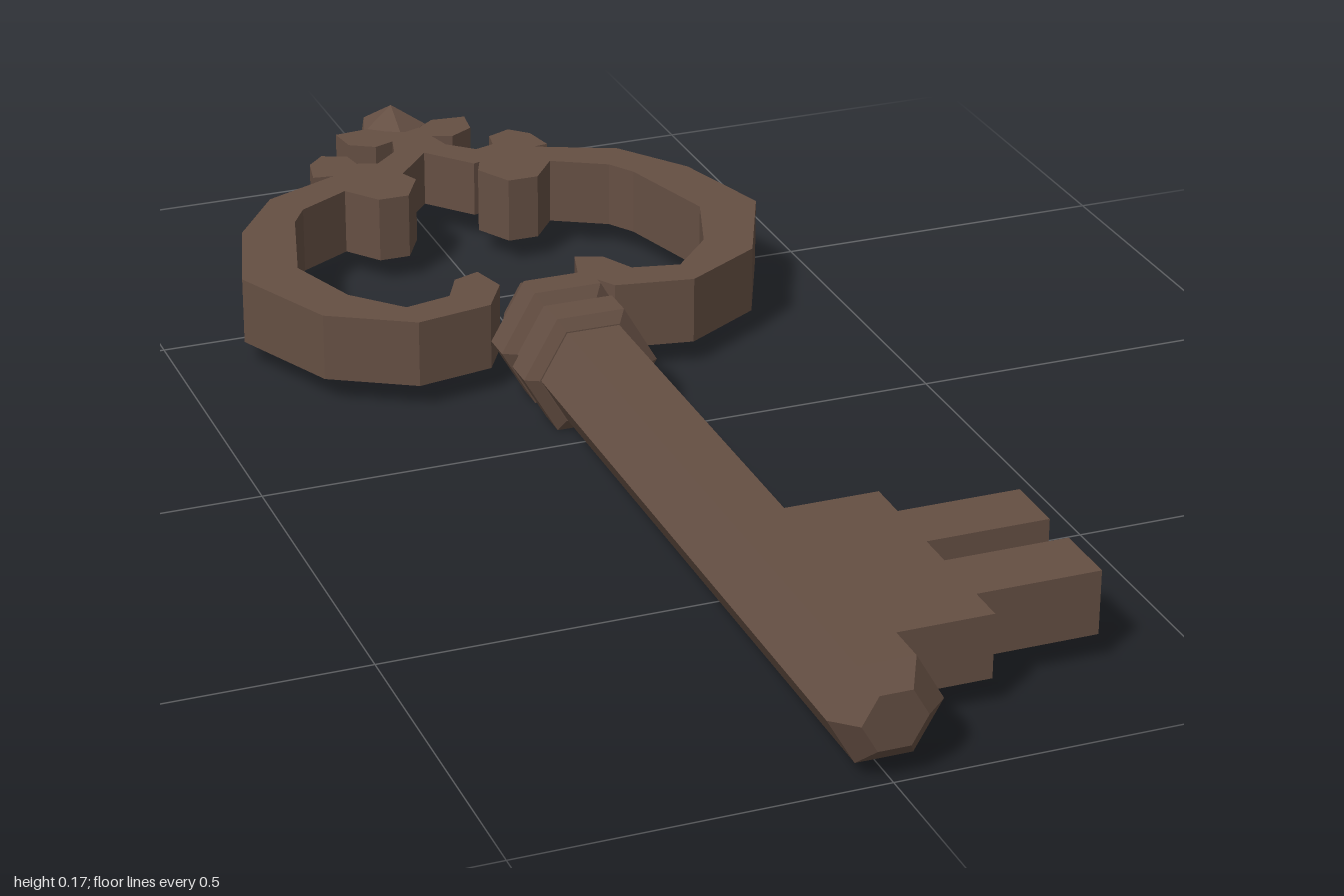
import * as THREE from 'three';

const MID = 0.087; // height of the key's centre plane
const material = new THREE.MeshStandardMaterial({ color: 0x654f43, flatShading: true });

function addMesh(group, name, geometry) {
  const mesh = new THREE.Mesh(geometry, material);
  mesh.name = name;
  group.add(mesh);
  return mesh;
}

// Flat plate from a plan outline of [x, -z] pairs, centred on the key's mid plane
function plate(outline, thickness, side = 1) {
  const shape = new THREE.Shape(outline.map(([x, y]) => new THREE.Vector2(x * side, y)));
  return new THREE.ExtrudeGeometry(shape, { depth: thickness, bevelEnabled: false })
    .translate(0, 0, -thickness / 2)
    .rotateX(-Math.PI / 2)
    .translate(0, MID, 0);
}

// Six-sided turned part along z from [radius, z] pairs of increasing z
function turned(profile) {
  return new THREE.LatheGeometry(profile.map(([r, z]) => new THREE.Vector2(r, z)), 6, Math.PI / 6)
    .rotateX(Math.PI / 2)
    .translate(0, MID, 0);
}

// One half of the bow, with a curl at each end
const bowOutline = [
  [0.06, 0.26], [0.075, 0.315], [0.115, 0.3], [0.14, 0.25], [0.21, 0.235], [0.275, 0.305],
  [0.315, 0.42], [0.27, 0.58], [0.245, 0.62], [0.165, 0.665], [0.127, 0.615], [0.08, 0.615],
  [0.05, 0.67], [0.065, 0.705], [0.155, 0.73], [0.28, 0.675], [0.355, 0.57], [0.402, 0.41],
  [0.33, 0.25], [0.21, 0.18], [0.095, 0.2],
];

// One half of the S-shaped crown scroll
const crownOutline = [
  [0.153, 0.823], [0.116, 0.807], [0.111, 0.775], [0.08, 0.765], [0.042, 0.8], [0.032, 0.84],
  [0.063, 0.828], [0.1, 0.85], [0.106, 0.897], [0.053, 0.902], [0.026, 0.88], [0, 0.87],
  [0, 0.78], [0.058, 0.712], [0.132, 0.738], [0.19, 0.746], [0.18, 0.796],
];

// Bit plate with two teeth
const bitOutline = [
  [0.05, -0.52], [0.19, -0.52], [0.19, -0.58], [0.365, -0.58], [0.365, -0.67], [0.19, -0.67],
  [0.19, -0.725], [0.365, -0.725], [0.365, -0.82], [0.19, -0.82], [0.19, -0.875], [0.05, -0.875],
];

export function createModel() {
  const key = new THREE.Group();
  key.name = 'key';

  // Shaft with chamfered tip
  addMesh(key, 'shaft', turned([[0, -0.15], [0.078, -0.15], [0.078, 0.97], [0.045, 1], [0, 1]]));

  // Collar: tapered socket, two rings and the neck between them
  addMesh(key, 'collar', turned([
    [0, -0.27], [0.05, -0.27], [0.08, -0.2], [0.1, -0.185], [0.1, -0.14], [0.08, -0.13],
    [0.08, -0.105], [0.1, -0.095], [0.1, -0.047], [0.08, -0.037], [0, -0.037],
  ]));

  addMesh(key, 'bit', plate(bitOutline, 0.092));

  // Mirrored bow halves and crown scrolls
  for (const [side, label] of [[1, 'left'], [-1, 'right']]) {
    addMesh(key, `${label}Bow`, plate(bowOutline, 0.1, side));
    addMesh(key, `${label}CrownScroll`, plate(crownOutline, 0.086, side));
  }

  // Faceted finial, standing on a vertex
  const finial = new THREE.IcosahedronGeometry(0.06, 0)
    .rotateZ(Math.atan(2 / (1 + Math.sqrt(5))))
    .rotateY(Math.PI / 2);
  addMesh(key, 'finial', finial).position.set(0, MID, -0.944);

  return key;
}
